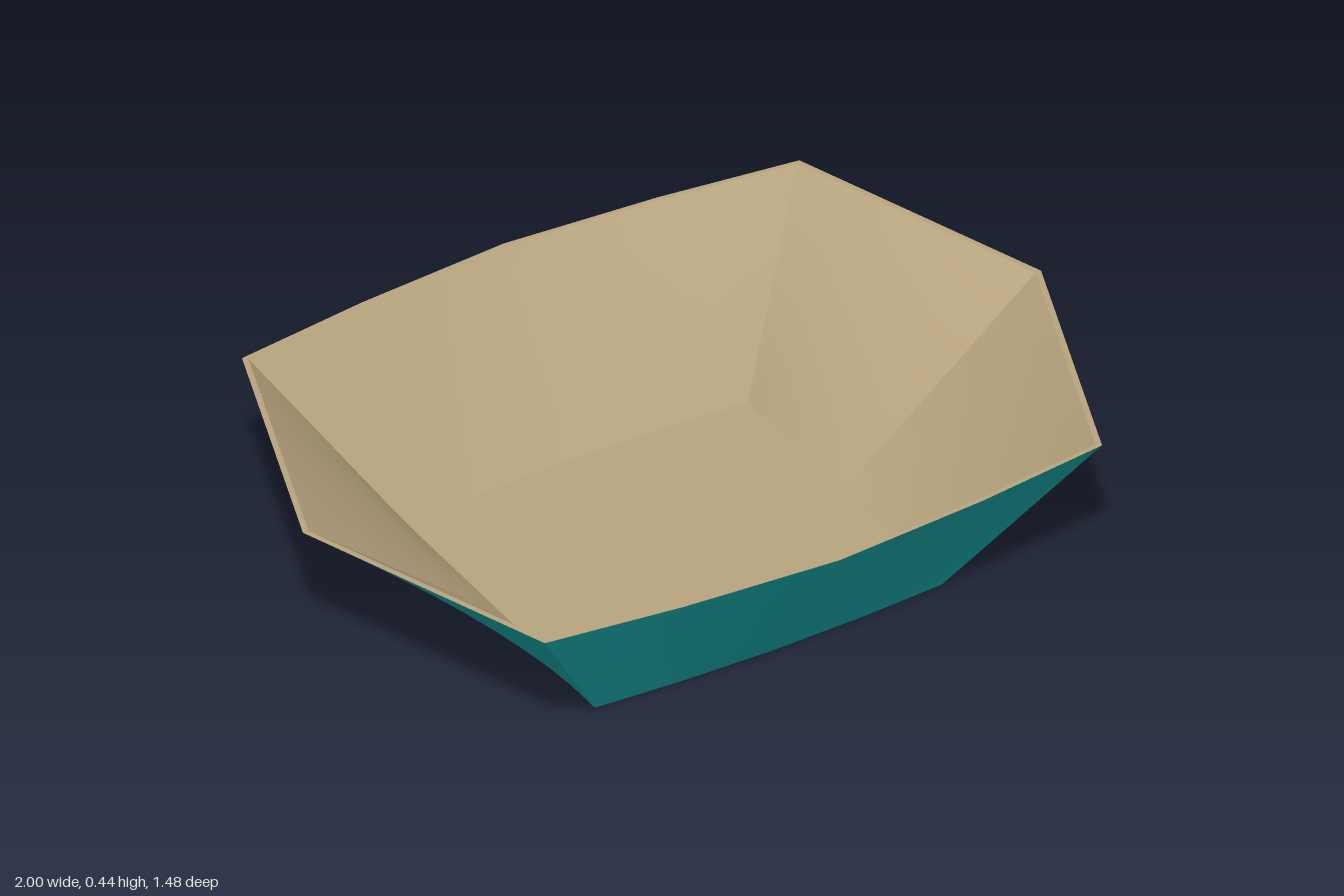
import * as THREE from 'three';

const HEIGHT = 0.435, FLOOR = 0.01;

// Outline as six faces: two long curved sides and four half ends.
// Each entry is [topX, topZ, bottomX, bottomZ].
const long = [
  [-0.755, 0.668, -0.47, 0.425], [-0.4, 0.713, -0.245, 0.439], [0, 0.742, 0, 0.445],
  [0.4, 0.713, 0.245, 0.439], [0.755, 0.668, 0.47, 0.425],
];
const half = [[0.755, 0.668, 0.47, 0.425], [1, 0, 0.47, 0]];
const turn = (f) => f.map(([a, b, c, d]) => [-a, -b, -c, -d]);
const mirrorZ = (f) => f.map(([a, b, c, d]) => [a, -b, c, -d]).reverse();
const front = [long, half, mirrorZ(half)];
const faces = [...front, ...front.map(turn)];

const topLine = (face, y, s) => face.map((p) => new THREE.Vector3(p[0] * s, y, p[1] * s));
const bottomLine = (face, y, s) => face.map((p) => new THREE.Vector3(p[2] * s, y, p[3] * s));

// Point at fraction t of a polyline
function along(line, t) {
  const f = t * (line.length - 1), i = Math.min(Math.floor(f), line.length - 2);
  return line[i].clone().lerp(line[i + 1], f - i);
}

// Smooth ruled surface from one line to another
function ruled(from, to, rows = 8) {
  const cols = 8, pos = [], index = [];
  for (let r = 0; r <= rows; r++) {
    for (let c = 0; c <= cols; c++) {
      pos.push(...along(from, c / cols).lerp(along(to, c / cols), r / rows).toArray());
      if (r < rows && c < cols) {
        const a = r * (cols + 1) + c, d = a + cols + 1;
        index.push(a, a + 1, d + 1, a, d + 1, d);
      }
    }
  }
  const g = new THREE.BufferGeometry();
  g.setAttribute('position', new THREE.Float32BufferAttribute(pos, 3));
  g.setIndex(index);
  g.computeVertexNormals();
  return g;
}

// Flat base plate bounded by the bottom outline
function plate(scale, y, up) {
  const pts = faces.flatMap((f) => f.slice(0, -1)).map((p) => new THREE.Vector2(p[2] * scale, -p[3] * scale));
  return new THREE.ShapeGeometry(new THREE.Shape(pts)).rotateX(up ? -Math.PI / 2 : Math.PI / 2).translate(0, y, 0);
}

export function createModel() {
  const bowl = new THREE.Group();
  bowl.name = 'bowl';
  const teal = new THREE.MeshStandardMaterial({ color: 0x17a2a4 });
  const tan = new THREE.MeshStandardMaterial({ color: 0xb8a47e });
  const add = (name, geometry, material) => {
    const mesh = new THREE.Mesh(geometry, material);
    mesh.name = name;
    bowl.add(mesh);
  };

  const inset = 0.985;
  for (const face of faces) {
    const outerTop = topLine(face, HEIGHT, 1), innerTop = topLine(face, HEIGHT, inset);
    add('outerWall', ruled(bottomLine(face, 0, 1), outerTop), teal);
    add('innerWall', ruled(innerTop, bottomLine(face, FLOOR, inset)), tan);
    add('rim', ruled(outerTop, innerTop, 1), tan);
  }

  // Underside and inner floor
  add('underside', plate(1, 0, false), teal);
  add('innerFloor', plate(inset, FLOOR, true), tan);
  return bowl;
}
